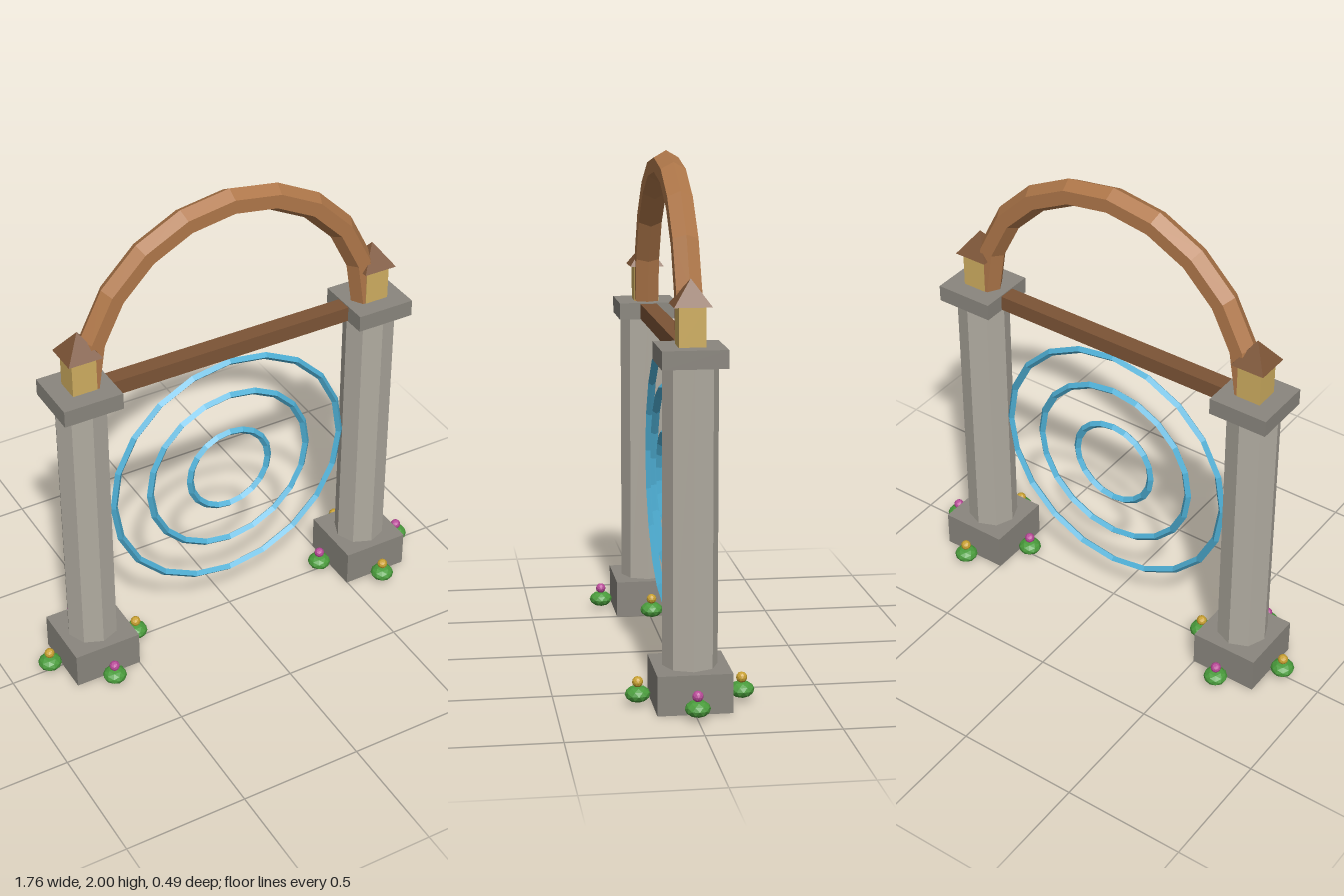
import * as THREE from 'three';

const paint = (name, color) => {
  const m = new THREE.MeshStandardMaterial({ color });
  m.name = name;
  return m;
};

// Facet every face so the low-poly edges stay crisp
function flat(geometry) {
  const g = geometry.index ? geometry.toNonIndexed() : geometry;
  g.computeVertexNormals();
  return g;
}

function add(parent, name, geometry, material, x = 0, y = 0, z = 0) {
  const mesh = new THREE.Mesh(flat(geometry), material);
  mesh.name = name;
  mesh.position.set(x, y, z);
  parent.add(mesh);
  return mesh;
}

export function createModel() {
  const darkStone = paint('dark stone', 0x8a867e);
  const paleStone = paint('pale stone', 0xb0aba0);
  const wood = paint('warm wood', 0xb0784a);
  const darkWood = paint('dark wood', 0x7c5436);
  const gold = paint('lantern gold', 0xcfae60);
  const blue = paint('ring blue', 0x4fb0d6);
  const green = paint('leaf green', 0x4a9c3c);
  const pink = paint('pink petals', 0xb84a98);
  const yellow = paint('yellow petals', 0xc8a030);

  const model = new THREE.Group();
  model.name = 'gateway';

  for (const side of [-1, 1]) {
    const tower = new THREE.Group();
    tower.name = side > 0 ? 'leftPillar' : 'rightPillar';
    tower.position.x = side * 0.638;
    model.add(tower);

    // Stone pillar
    add(tower, 'base', new THREE.BoxGeometry(0.28, 0.15, 0.28), darkStone, 0, 0.075);
    add(tower, 'shaft', new THREE.CylinderGeometry(0.104, 0.104, 1.13, 8), paleStone, 0, 0.713);
    add(tower, 'cap', new THREE.BoxGeometry(0.242, 0.068, 0.242), darkStone, 0, 1.306);

    // Lantern with pyramid roof
    add(tower, 'lantern', new THREE.BoxGeometry(0.1, 0.147, 0.1), gold, 0, 1.4125);
    add(tower, 'lanternRoof', new THREE.ConeGeometry(0.099, 0.097, 4).rotateY(Math.PI / 4),
      darkWood, 0, 1.534);

    // Four flowering bushes around the base
    for (let i = 0; i < 4; i++) {
      const a = i * Math.PI / 2;
      const x = side * 0.195 * Math.cos(a), z = 0.195 * Math.sin(a);
      const outerOrFront = side > 0 ? [pink, yellow, pink, yellow] : [yellow, pink, yellow, pink];
      add(tower, 'bush', new THREE.IcosahedronGeometry(0.048, 1).scale(1, 0.65, 1), green, x, 0.043, z);
      add(tower, 'flower', new THREE.IcosahedronGeometry(0.021, 1), outerOrFront[i], x, 0.089, z);
    }
  }

  // Crossbeam and arch
  add(model, 'crossbeam', new THREE.BoxGeometry(1.15, 0.062, 0.07), darkWood, 0, 1.305);
  add(model, 'arch', new THREE.TorusGeometry(0.605, 0.055, 6, 10, Math.PI), wood, 0, 1.34);

  // Concentric hanging rings
  for (const radius of [0.518, 0.358, 0.179]) {
    add(model, 'ring', new THREE.TorusGeometry(radius, 0.0155, 4, 20), blue, 0, 0.716);
  }

  return model;
}
